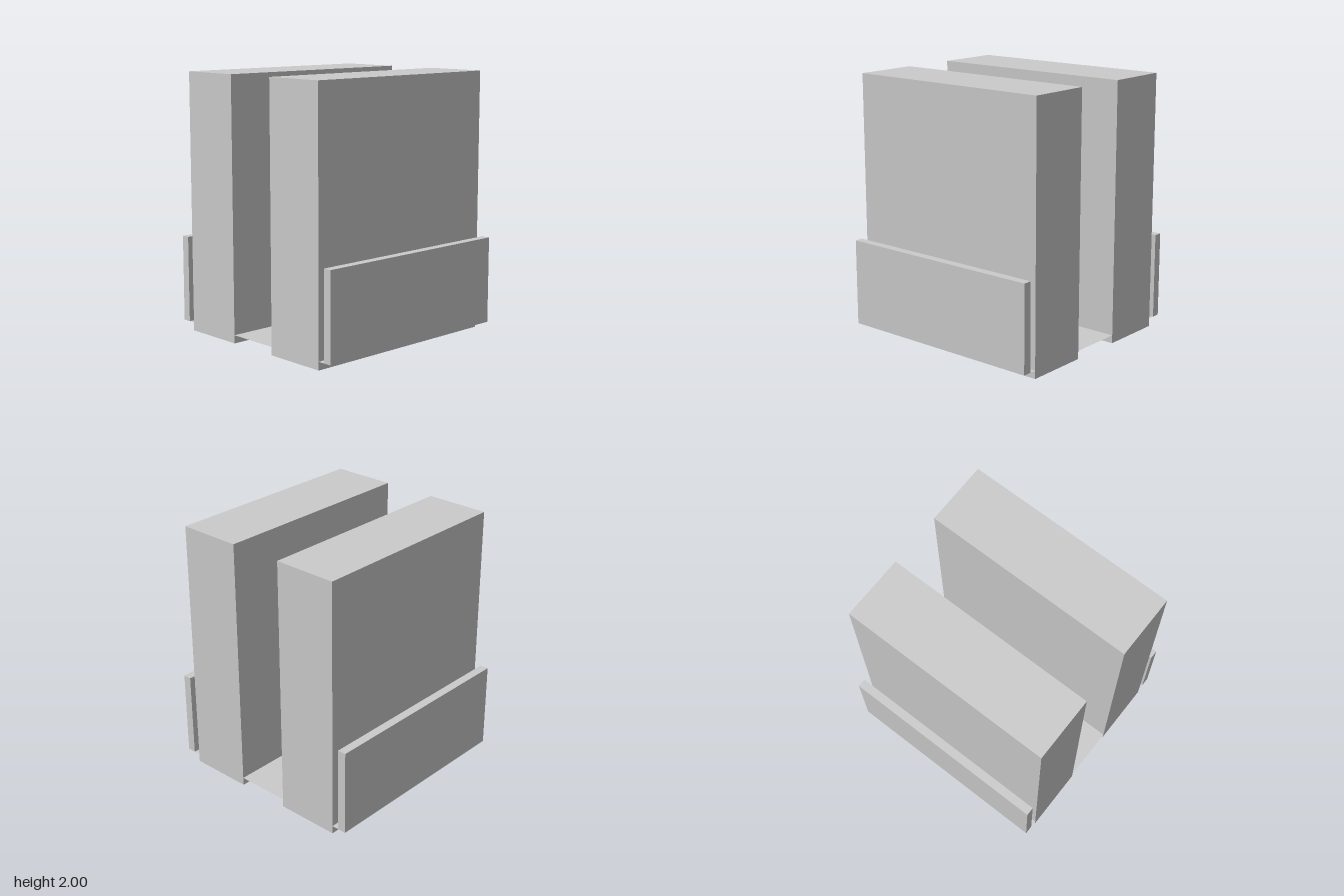
import * as THREE from 'three';

export function createModel() {
  const group = new THREE.Group();
  const material = new THREE.MeshStandardMaterial({ color: 0xcccccc, flatShading: true });
  const sheetMaterial = new THREE.MeshStandardMaterial({ color: 0xcccccc, side: THREE.DoubleSide });
  const depth = 1.667;
  const panelBottom = 0.063;

  const addBox = (name, width, height, x, bottom) => {
    const mesh = new THREE.Mesh(new THREE.BoxGeometry(width, height, depth), material);
    mesh.name = name;
    mesh.position.set(x, bottom + height / 2, 0);
    group.add(mesh);
  };

  // Tall slabs with low side panels outside them
  for (const [side, s] of [['left', 1], ['right', -1]]) {
    addBox(side + 'Slab', 0.5, 2, s * 0.463, 0);
    addBox(side + 'SidePanel', 0.067, 0.667, s * 0.8, panelBottom);
  }

  // Thin floor sheet joining the panels and slabs
  const floor = new THREE.Mesh(new THREE.PlaneGeometry(1.667, depth), sheetMaterial);
  floor.name = 'floorSheet';
  floor.rotation.x = -Math.PI / 2;
  floor.position.y = panelBottom;
  group.add(floor);

  return group;
}
